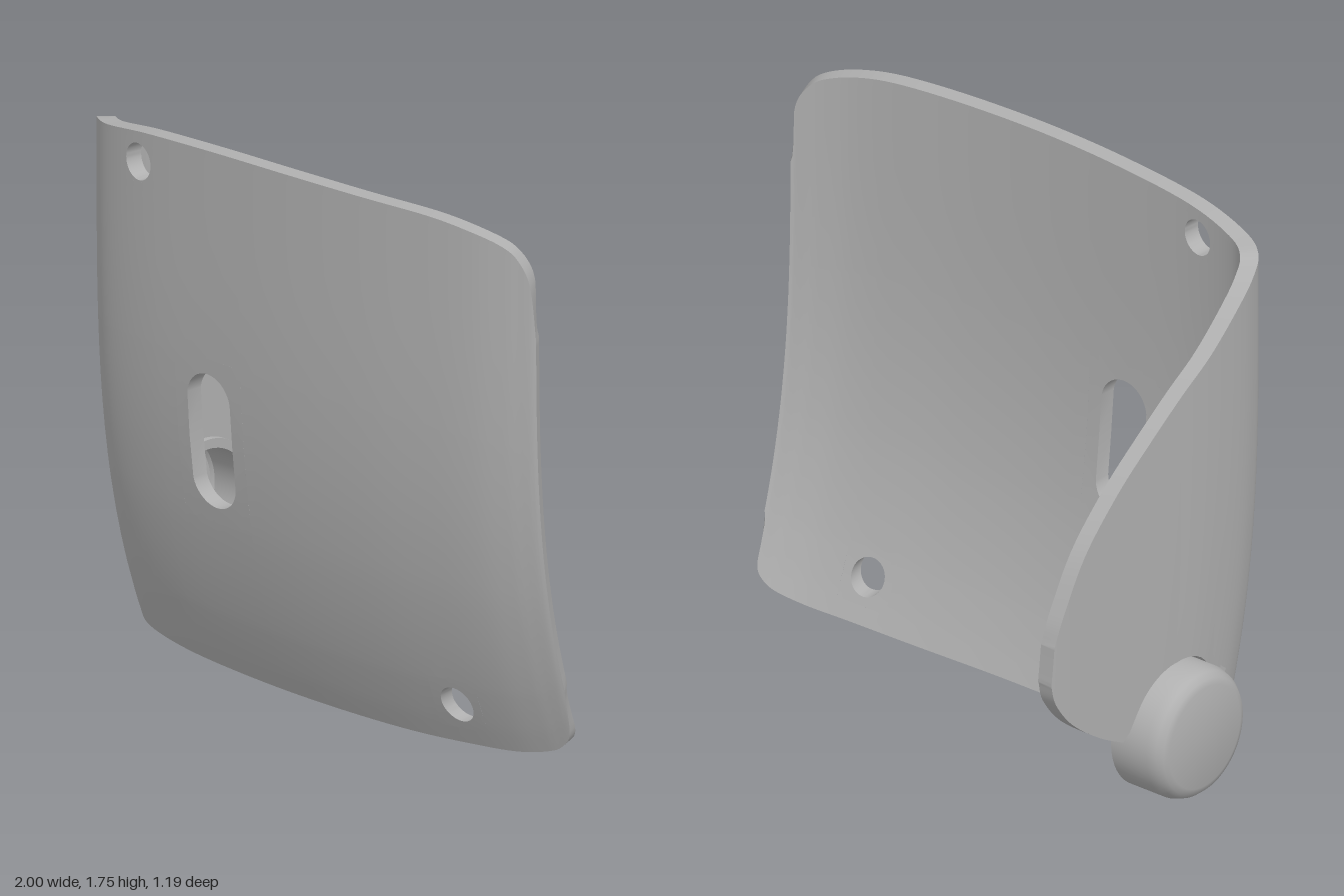
import * as THREE from 'three';
import { toCreasedNormals } from 'three/addons/utils/BufferGeometryUtils.js';

const THICK = 0.055;
const KNOB = { y: 0.31, z: -0.03, r: 0.21 };

// Plate stations from flange tip, round the bend, to the far edge:
// x, set-back from the front bulge, top height, bottom height
const STATIONS = [
  [-0.875, 1.15, 0.79, 0.67], [-0.877, 1.12, 0.88, 0.6], [-0.88, 1.03, 1.05, 0.505],
  [-0.883, 0.885, 1.2, 0.41], [-0.885, 0.74, 1.31, 0.34], [-0.885, 0.59, 1.41, 0.265],
  [-0.882, 0.45, 1.49, 0.195], [-0.865, 0.3, 1.585, 0.13], [-0.84, 0.2, 1.64, 0.085],
  [-0.8, 0.13, 1.675, 0.055], [-0.7, 0.07, 1.69, 0.04], [-0.5, 0.03, 1.72, 0.02],
  [-0.2, 0.008, 1.738, 0.005], [0.1, 0, 1.745, 0], [0.4, 0.01, 1.745, 0],
  [0.65, 0.035, 1.74, 0.01], [0.8, 0.06, 1.72, 0.02], [0.9, 0.09, 1.69, 0.04],
  [0.95, 0.11, 1.65, 0.065], [0.985, 0.125, 1.57, 0.12], [1.0, 0.135, 1.4, 0.27],
];
const LAST = STATIONS.length - 1;

// Smooth interpolation of one station column
function station(t, k) {
  const i = Math.max(0, Math.min(LAST - 1, Math.floor(t)));
  const f = t - i;
  const p = (j) => STATIONS[Math.max(0, Math.min(LAST, j))][k];
  const a = p(i - 1), b = p(i), c = p(i + 1), d = p(i + 2);
  return b + 0.5 * f * (c - a + f * (2 * a - 5 * b + 4 * c - d + f * (3 * (b - c) + d - a)));
}

// Bottom edge, with the round notch that receives the cap
function bottom(t) {
  const lo = station(t, 3);
  const d = station(t, 1);
  if (d < 0.37 || d > 0.75) return lo;
  const dz = 0.51 - d - KNOB.z;
  return Math.max(lo, KNOB.y + Math.sqrt(Math.max(0, KNOB.r ** 2 - dz * dz)));
}

// Point on the outer (depth 0) or inner (depth THICK) face
function surface([t, v], depth) {
  const lo = bottom(t);
  const y = lo + (station(t, 2) - lo) * v;
  const bulge = 0.59 - 0.22 * (Math.max(0, 1.5 - y) / 1.5) ** 3;
  const e = 0.02;
  const t0 = Math.max(0, t - e), t1 = Math.min(LAST, t + e);
  const tx = station(t1, 0) - station(t0, 0);
  const tz = station(t0, 1) - station(t1, 1);
  const len = Math.hypot(tx, tz) || 1;
  return [station(t, 0) + (tz / len) * depth, y, bulge - station(t, 1) - (tx / len) * depth];
}

// Front panel position to plate parameters
function locate(x, y) {
  let a = 9, b = LAST;
  for (let i = 0; i < 40; i++) {
    const m = (a + b) / 2;
    if (station(m, 0) < x) a = m; else b = m;
  }
  const lo = bottom(a);
  return [a, (y - lo) / (station(a, 2) - lo)];
}

function plateGeometry() {
  const pos = [];
  const quad = (a, b, c, d) => pos.push(...a, ...b, ...c, ...a, ...c, ...d);
  const skin = (a, b, c, d) => {
    const o = [a, b, c, d].map((p) => surface(p, 0));
    const n = [a, b, c, d].map((p) => surface(p, THICK));
    quad(...o);
    quad(n[3], n[2], n[1], n[0]);
  };
  const wall = (a, b) => quad(surface(a, 0), surface(a, THICK), surface(b, THICK), surface(b, 0));

  // Two round holes and one upright slot, each in its own grid window
  const holes = [
    { x: -0.54, y: 1.62, r: 0.058, h: 0, m: 0.014 },
    { x: -0.238, y: 0.808, r: 0.0925, h: 0.125, m: 0.05 },
    { x: 0.62, y: 0.145, r: 0.058, h: 0, m: 0.03 },
  ];
  const cols = [], rows = [];
  for (let i = 0; i <= LAST * 6; i++) cols.push(i / 6);
  for (let i = 0; i <= 18; i++) rows.push(i / 18);
  for (const o of holes) {
    o.min = locate(o.x - o.r - o.m, o.y - o.h - o.r - o.m);
    o.max = locate(o.x + o.r + o.m, o.y + o.h + o.r + o.m);
    cols.push(o.min[0], o.max[0]);
    rows.push(o.min[1], o.max[1]);
  }
  cols.sort((a, b) => a - b);
  rows.sort((a, b) => a - b);

  // Faces
  for (let i = 0; i < cols.length - 1; i++) {
    for (let j = 0; j < rows.length - 1; j++) {
      const [a, b, c, d] = [cols[i], cols[i + 1], rows[j], rows[j + 1]];
      const t = (a + b) / 2, v = (c + d) / 2;
      if (b - a < 1e-6 || d - c < 1e-6) continue;
      if (holes.some((o) => t > o.min[0] && t < o.max[0] && v > o.min[1] && v < o.max[1])) continue;
      skin([a, c], [b, c], [b, d], [a, d]);
    }
  }

  // Rim
  for (let i = 0; i < cols.length - 1; i++) {
    wall([cols[i], 0], [cols[i + 1], 0]);
    wall([cols[i + 1], 1], [cols[i], 1]);
  }
  for (let j = 0; j < rows.length - 1; j++) {
    wall([LAST, rows[j]], [LAST, rows[j + 1]]);
    wall([0, rows[j + 1]], [0, rows[j]]);
  }

  // Hole surrounds and bores
  const N = 40;
  for (const o of holes) {
    const ring = (k, f) => {
      const a = (k % N) / N * Math.PI * 2;
      const c = Math.cos(a), s = Math.sin(a), q = Math.max(Math.abs(c), Math.abs(s));
      const side = Math.abs(s) < 1e-6 ? 0 : Math.sign(s);
      const inner = locate(o.x + o.r * c, o.y + o.h * side + o.r * s);
      return [0, 1].map((n) => {
        const dir = (n ? s : c) / q;
        const outer = (o.min[n] + o.max[n]) / 2 + dir * (o.max[n] - o.min[n]) / 2;
        return inner[n] + (outer - inner[n]) * f;
      });
    };
    for (let k = 0; k < N; k++) {
      for (const f of [0, 0.5]) {
        skin(ring(k, f), ring(k, f + 0.5), ring(k + 1, f + 0.5), ring(k + 1, f));
      }
      wall(ring(k + 1, 0), ring(k, 0));
    }
  }

  const g = new THREE.BufferGeometry();
  g.setAttribute('position', new THREE.Float32BufferAttribute(pos, 3));
  return toCreasedNormals(g, 0.6);
}

export function createModel() {
  const group = new THREE.Group();
  const grey = new THREE.MeshStandardMaterial({ color: 0xb0b0b0 });
  grey.name = 'grey';
  const add = (name, geometry) => {
    const mesh = new THREE.Mesh(geometry, grey);
    mesh.name = name;
    group.add(mesh);
    return mesh;
  };

  add('bentPlate', plateGeometry());

  // Hollow round cap, closed on the outside and open towards the plate
  const profile = [
    [0, -1], [0.165, -1], [0.185, -0.993], [0.2, -0.975], [0.21, -0.945], [0.21, -0.81],
    [0.18, -0.81], [0.18, -0.95], [0.172, -0.96], [0, -0.96],
  ].map(([r, x]) => new THREE.Vector2(r, x));
  const cap = add('roundCap', toCreasedNormals(new THREE.LatheGeometry(profile, 64), 0.6));
  cap.rotation.z = -Math.PI / 2;
  cap.position.set(0, KNOB.y, KNOB.z);

  // Pointed lug beside the cap; shape drawn as (-z, y)
  const lug = new THREE.Shape([
    [-0.23, 0.39], [-0.165, 0.25], [-0.14, 0.25], [-0.165, 0.31], [-0.14, 0.42], [-0.11, 0.485],
  ].map(([a, b]) => new THREE.Vector2(a, b)));
  const pointer = add('pointedLug', new THREE.ExtrudeGeometry(lug, { depth: 0.06, bevelEnabled: false }));
  pointer.rotation.y = Math.PI / 2;
  pointer.position.x = -0.865;

  return group;
}
